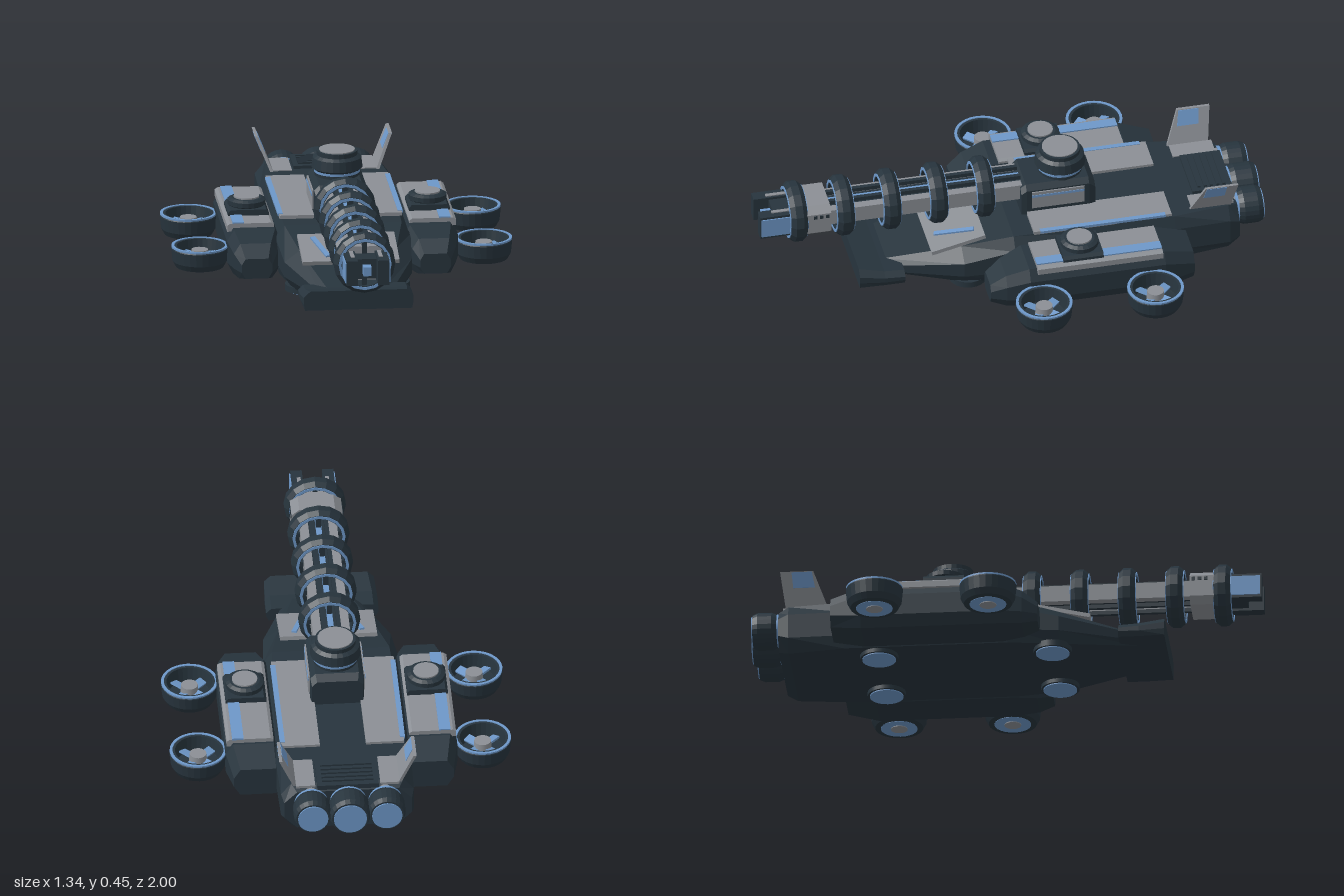
import * as THREE from 'three';

const mat = (name, color, side = THREE.FrontSide) => {
  const m = new THREE.MeshStandardMaterial({ color, side });
  m.name = name;
  return m;
};

export function createModel() {
  const dark = mat('dark armour', 0x27343d);
  const grey = mat('grey plating', 0x8b8f95);
  const blue = mat('blue trim', 0x6d97c8);
  const root = new THREE.Group();
  root.name = 'hoverTank';
  const half = new THREE.Group();
  half.name = 'leftSide';

  const flat = (g) => {
    const f = g.index ? g.toNonIndexed() : g;
    f.computeVertexNormals();
    return f;
  };
  const add = (name, geo, m, parent = root, x = 0, y = 0, z = 0) => {
    const mesh = new THREE.Mesh(geo, m);
    mesh.name = name;
    mesh.position.set(x, y, z);
    parent.add(mesh);
    return mesh;
  };
  const box = (name, m, w, h, d, x, y, z, parent = root) =>
    add(name, new THREE.BoxGeometry(w, h, d), m, parent, x, y, z);
  const lathe = (pts, n) => new THREE.LatheGeometry(pts.map(p => new THREE.Vector2(...p)), n);

  // Loft of eight-sided sections, rows ordered from back to front:
  // [z, centreX, topHalf, midHalf, bottomHalf, yBottom, yTop, chamfer]
  const loft = (rows) => {
    const pos = [], idx = [];
    for (const [z, cx, t, m, b, y0, y1, c] of rows) {
      const ring = [[-b, y0], [b, y0], [m, y0 + c], [m, y1 - c], [t, y1], [-t, y1], [-m, y1 - c], [-m, y0 + c]];
      for (const [x, y] of ring) pos.push(cx + x, y, z);
    }
    for (let r = 0; r < rows.length - 1; r++) {
      for (let i = 0; i < 8; i++) {
        const a = r * 8 + i, b = r * 8 + (i + 1) % 8;
        idx.push(a, b, b + 8, a, b + 8, a + 8);
      }
    }
    const e = (rows.length - 1) * 8;
    for (let i = 1; i < 7; i++) idx.push(0, i + 1, i, e, e + i, e + i + 1);
    const g = new THREE.BufferGeometry();
    g.setAttribute('position', new THREE.Float32BufferAttribute(pos, 3));
    g.setIndex(idx);
    return flat(g);
  };

  // Central hull and nose blade
  add('hull', loft([
    [-0.88, 0, 0.20, 0.25, 0.20, 0.035, 0.205, 0.05],
    [-0.84, 0, 0.22, 0.26, 0.22, 0.02, 0.22, 0.05],
    [-0.62, 0, 0.245, 0.265, 0.25, 0.02, 0.22, 0.05],
    [0.02, 0, 0.23, 0.265, 0.25, 0.02, 0.215, 0.05],
    [0.22, 0, 0.19, 0.25, 0.22, 0.02, 0.17, 0.045],
    [0.52, 0, 0.11, 0.14, 0.12, 0.045, 0.1, 0.015]]), dark);
  add('noseBlade', loft([
    [0.45, 0, 0.20, 0.22, 0.21, 0.045, 0.10, 0.02],
    [0.53, 0, 0.20, 0.22, 0.21, 0.045, 0.105, 0.02],
    [0.63, 0, 0.19, 0.215, 0.21, 0.048, 0.125, 0.025]]), dark);

  // Sloping bow plate with blue strips
  const bow = new THREE.Group();
  bow.name = 'bowPlate';
  bow.position.set(0, 0.176, 0.23);
  bow.rotation.x = 0.225;
  root.add(bow);
  box('bowPanel', grey, 0.38, 0.016, 0.22, 0, 0, 0, bow);
  for (const s of [-1, 1]) {
    const strip = box('bowStrip', blue, 0.02, 0.008, 0.16, s * 0.11, 0.011, 0, bow);
    strip.rotation.y = -s * 0.3;
  }

  // Rear deck with vents
  box('rearDeck', dark, 0.24, 0.02, 0.16, 0, 0.222, -0.80);
  for (let i = 0; i < 5; i++) box('ventSlat', dark, 0.2, 0.008, 0.012, 0, 0.235, -0.75 - i * 0.025);

  // Hull deck panels
  box('deckPanel', grey, 0.15, 0.014, 0.55, 0.165, 0.223, -0.335, half);
  box('deckStrip', blue, 0.02, 0.01, 0.5, 0.235, 0.227, -0.335, half);
  box('rearPanel', grey, 0.075, 0.01, 0.17, 0.165, 0.219, -0.78, half);

  // Tail fin, leaning outward
  const fin = (pts, depth, x0) => {
    const g = new THREE.ExtrudeGeometry(new THREE.Shape(pts.map(p => new THREE.Vector2(...p))),
      { depth, bevelEnabled: false });
    g.rotateY(-Math.PI / 2);
    const p = g.attributes.position;
    for (let i = 0; i < p.count; i++) p.setX(i, p.getX(i) + x0 + (p.getY(i) - 0.21) * 0.42);
    return flat(g);
  };
  add('tailFin', fin([[-0.85, 0.2], [-0.68, 0.2], [-0.74, 0.35], [-0.87, 0.35]], 0.012, 0.21), grey, half);
  add('finPatch', fin([[-0.82, 0.29], [-0.735, 0.29], [-0.745, 0.347], [-0.825, 0.347]], 0.016, 0.212), blue, half);

  // Side pod
  add('sidePod', loft([
    [-0.66, 0.335, 0.07, 0.095, 0.07, 0.04, 0.16, 0.04],
    [-0.54, 0.345, 0.08, 0.108, 0.085, 0.02, 0.195, 0.045],
    [0, 0.345, 0.08, 0.108, 0.085, 0.02, 0.195, 0.045],
    [0.09, 0.35, 0.06, 0.085, 0.065, 0.025, 0.165, 0.04],
    [0.15, 0.35, 0.045, 0.06, 0.045, 0.04, 0.12, 0.025]]), dark, half);
  add('podPanel', loft([
    [-0.53, 0.357, 0.08, 0.092, 0.092, 0.18, 0.212, 0.008],
    [-0.03, 0.357, 0.08, 0.092, 0.092, 0.18, 0.212, 0.008]]), grey, half);
  box('podStrip', blue, 0.045, 0.008, 0.5, 0.405, 0.213, -0.28, half);

  // Pod turret
  add('podTurretBase', loft([
    [-0.295, 0.355, 0.07, 0.08, 0.08, 0.195, 0.235, 0.012],
    [-0.135, 0.355, 0.07, 0.08, 0.08, 0.195, 0.235, 0.012]]), dark, half);
  add('podTurret', flat(lathe([[0.06, 0.23], [0.075, 0.24], [0.075, 0.258], [0.06, 0.266], [0, 0.266]], 20)),
    dark, half, 0.355, 0, -0.215);
  add('podTurretCap', new THREE.CylinderGeometry(0.05, 0.05, 0.008, 20), grey, half, 0.355, 0.268, -0.215);

  // Lift fans
  for (const z of [-0.03, -0.475]) {
    const fan = new THREE.Group();
    fan.name = 'liftFan';
    fan.position.set(0.557, 0, z);
    half.add(fan);
    add('fanShroud', flat(lathe([[0.07, 0.043], [0.094, 0.046], [0.107, 0.07], [0.112, 0.12], [0.108, 0.128],
      [0.09, 0.128], [0.082, 0.07], [0.07, 0.043]], 28)), dark, fan);
    add('fanRim', flat(lathe([[0.1, 0.124], [0.111, 0.124], [0.111, 0.131], [0.1, 0.131], [0.1, 0.124]], 28)), blue, fan);
    add('fanFloor', new THREE.CylinderGeometry(0.08, 0.075, 0.02, 24), dark, fan, 0, 0.06, 0);
    add('fanUnderside', new THREE.CylinderGeometry(0.072, 0.072, 0.008, 24), blue, fan, 0, 0.046, 0);
    add('fanUnderHub', new THREE.CylinderGeometry(0.033, 0.033, 0.01, 20), grey, fan, 0, 0.044, 0);
    add('fanHub', new THREE.CylinderGeometry(0.033, 0.036, 0.045, 20), grey, fan, 0, 0.09, 0);
    for (let i = 0; i < 4; i++) {
      const a = Math.PI / 4 + i * Math.PI / 2;
      const blade = box('fanBlade', blue, 0.055, 0.008, 0.035, Math.cos(a) * 0.055, 0.085, Math.sin(a) * 0.055, fan);
      blade.rotation.set(0.25, -a, 0, 'YXZ');
    }
  }

  // Belly lifters
  for (const z of [0.19, -0.49]) {
    add('bellyRing', new THREE.CylinderGeometry(0.075, 0.075, 0.025, 24), dark, half, 0.17, 0.0165, z);
    add('bellyDisc', new THREE.CylinderGeometry(0.066, 0.066, 0.008, 24), blue, half, 0.17, 0.004, z);
  }

  // Mirror the side parts
  root.add(half);
  const other = half.clone();
  other.name = 'rightSide';
  other.scale.x = -1;
  root.add(other);

  // Rear engines
  for (const [x, r, end] of [[-0.145, 0.066, -0.985], [0, 0.072, -0.995], [0.145, 0.066, -0.985]]) {
    const engine = new THREE.Group();
    engine.name = 'engine';
    engine.position.set(x, 0.153, 0);
    engine.rotation.x = -Math.PI / 2;
    root.add(engine);
    const h = -end;
    add('engineCollar', new THREE.CylinderGeometry(r * 0.9, r * 0.9, 0.06, 24), grey, engine, 0, 0.87, 0);
    add('engineBand', new THREE.CylinderGeometry(r, r, 0.012, 24), blue, engine, 0, 0.885, 0);
    add('engineNozzle', flat(lathe([[0, 0.89], [r, 0.89], [r + 0.008, 0.91], [r + 0.008, h - 0.02], [r, h], [0, h]], 24)), dark, engine);
    add('engineGlow', new THREE.CylinderGeometry(r * 0.9, r * 0.9, 0.01, 24), blue, engine, 0, h, 0);
  }

  // Central turret
  add('turretBase', loft([
    [-0.335, 0, 0.08, 0.1, 0.1, 0.21, 0.325, 0.02],
    [-0.31, 0, 0.085, 0.105, 0.105, 0.21, 0.348, 0.02],
    [-0.06, 0, 0.085, 0.105, 0.105, 0.21, 0.348, 0.02],
    [-0.04, 0, 0.08, 0.1, 0.1, 0.21, 0.33, 0.02]]), dark);
  for (const s of [-1, 1]) {
    box('turretSidePanel', grey, 0.008, 0.075, 0.21, s * 0.107, 0.285, -0.185);
    box('turretSideStrip', blue, 0.008, 0.01, 0.21, s * 0.109, 0.305, -0.185);
  }
  add('turretDome', flat(lathe([[0.088, 0.34], [0.088, 0.37], [0.1, 0.38], [0.095, 0.42], [0.08, 0.43],
    [0.08, 0.447], [0, 0.447]], 24)), dark, root, 0, 0, -0.215);
  add('turretBand', new THREE.CylinderGeometry(0.09, 0.09, 0.01, 24), blue, root, 0, 0.366, -0.215);
  add('turretCap', new THREE.CylinderGeometry(0.07, 0.07, 0.008, 24), grey, root, 0, 0.447, -0.215);

  // Long gun: rails, core and coil rings
  const gun = new THREE.Group();
  gun.name = 'mainGun';
  gun.position.y = 0.305;
  root.add(gun);
  box('gunCore', dark, 0.07, 0.05, 0.92, 0, 0, 0.41, gun);
  box('gunSpine', blue, 0.022, 0.07, 0.9, 0, 0, 0.4, gun);
  for (const s of [-1, 1]) {
    box('gunRail', grey, 0.034, 0.066, 0.88, s * 0.056, 0, 0.39, gun);
    for (const v of [-1, 1]) box('gunEdgeRail', dark, 0.016, 0.016, 0.88, s * 0.03, v * 0.045, 0.39, gun);
    // Muzzle prongs
    box('muzzleProng', dark, 0.045, 0.1, 0.14, s * 0.062, 0, 0.93, gun);
    box('prongPlate', blue, 0.006, 0.08, 0.12, s * 0.086, 0, 0.935, gun);
    box('prongTop', grey, 0.015, 0.008, 0.08, s * 0.055, 0.05, 0.91, gun);
  }
  add('gunBlock', loft([
    [0.72, 0, 0.07, 0.1, 0.07, -0.068, 0.068, 0.025],
    [0.86, 0, 0.07, 0.1, 0.07, -0.068, 0.068, 0.025]]), grey, gun);
  for (const s of [-1, 1]) for (let i = 0; i < 3; i++)
    box('blockPort', dark, 0.006, 0.014, 0.014, s * 0.1, 0.03, 0.735 + i * 0.024, gun);
  box('muzzleBlock', dark, 0.09, 0.08, 0.08, 0, 0, 0.9, gun);
  box('muzzleLens', blue, 0.032, 0.036, 0.06, 0, 0, 0.95, gun);

  const coil = flat(lathe([[0.09, -0.033], [0.106, -0.033], [0.121, -0.015], [0.121, 0.015], [0.106, 0.033],
    [0.09, 0.033], [0.09, -0.033]], 16)).rotateX(Math.PI / 2);
  const trim = flat(lathe([[0.093, -0.036], [0.104, -0.036], [0.104, 0.036], [0.093, 0.036], [0.093, -0.036]], 16))
    .rotateX(Math.PI / 2);
  for (let i = 0; i < 5; i++) {
    const z = 0.1 + i * 0.1865;
    add('coilRing', coil, dark, gun, 0, 0, z);
    add('coilTrim', trim, blue, gun, 0, 0, z);
    // Spokes holding the ring to the rails
    box('coilSpokeAcross', dark, 0.19, 0.02, 0.03, 0, 0, z, gun);
    box('coilSpokeUpright', dark, 0.02, 0.19, 0.03, 0, 0, z, gun);
  }
  return root;
}
